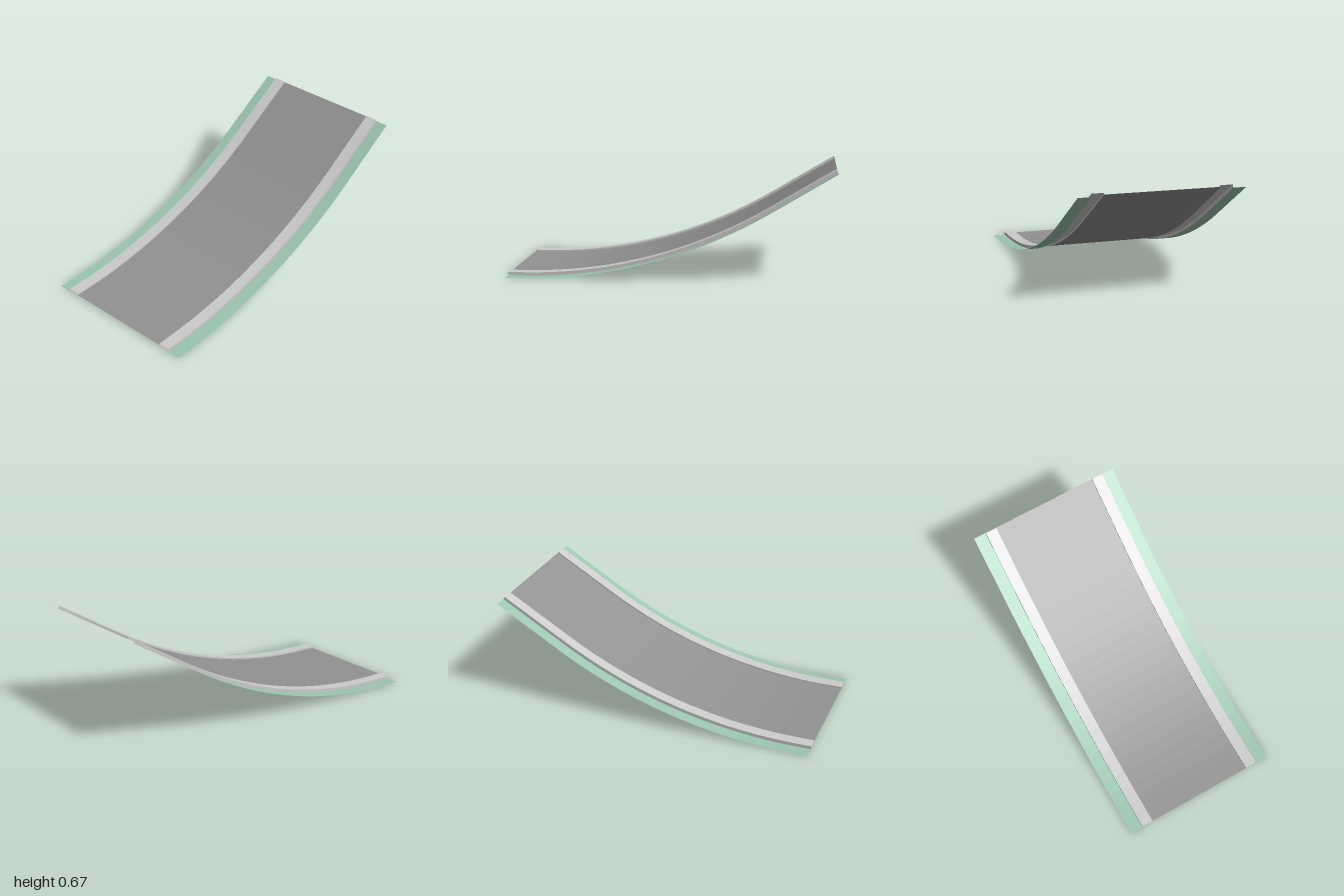
import * as THREE from 'three';

// Side path of the ramp: short flat start, circular arc, straight climb
const FLAT = 0.1, RUN = 1.5, SLOPE = Math.atan(0.6), ARC_STEPS = 18;
const RADIUS = RUN / Math.sin(SLOPE);

function rampPath() {
  const path = [{ z: 1, y: 0, angle: 0 }];
  for (let i = 0; i <= ARC_STEPS; i++) {
    const angle = SLOPE * i / ARC_STEPS;
    path.push({
      z: 1 - FLAT - RADIUS * Math.sin(angle),
      y: RADIUS * (1 - Math.cos(angle)),
      angle,
    });
  }
  const last = path[path.length - 1];
  path.push({ z: -1, y: last.y + (last.z + 1) * Math.tan(SLOPE), angle: SLOPE });
  return path;
}

// Sweeps an open cross-section of [x, height above path] along the path
function sweep(name, section, color, path) {
  const positions = [], index = [], n = section.length;
  for (const p of path) {
    for (const [x, h] of section) {
      positions.push(x, p.y + h * Math.cos(p.angle), p.z + h * Math.sin(p.angle));
    }
  }
  for (let i = 0; i < path.length - 1; i++) {
    for (let j = 0; j < n - 1; j++) {
      const a = i * n + j, b = a + 1, c = a + n, d = c + 1;
      index.push(a, b, d, a, d, c);
    }
  }
  const indexed = new THREE.BufferGeometry();
  indexed.setAttribute('position', new THREE.Float32BufferAttribute(positions, 3));
  indexed.setIndex(index);
  const geometry = indexed.toNonIndexed();
  geometry.computeVertexNormals();
  const material = new THREE.MeshStandardMaterial({ color, flatShading: true, side: THREE.DoubleSide });
  const mesh = new THREE.Mesh(geometry, material);
  mesh.name = name;
  return mesh;
}

export function createModel() {
  const group = new THREE.Group();
  group.name = 'roadRamp';
  const path = rampPath();
  const mirror = (section) => section.map(([x, h]) => [-x, h]).reverse();

  // Road surface
  group.add(sweep('road', [[-0.347, 0.01], [0.347, 0.01]], 0x929292, path));

  // Raised kerbs and flat grass verges on both sides
  const kerb = [[0.347, 0.01], [0.347, 0.02], [0.42, 0.02], [0.42, 0]];
  const verge = [[0.42, 0], [0.5, 0]];
  group.add(sweep('leftKerb', kerb, 0xcccccc, path));
  group.add(sweep('rightKerb', mirror(kerb), 0xcccccc, path));
  group.add(sweep('leftVerge', verge, 0x9ac6b0, path));
  group.add(sweep('rightVerge', mirror(verge), 0x9ac6b0, path));
  return group;
}
